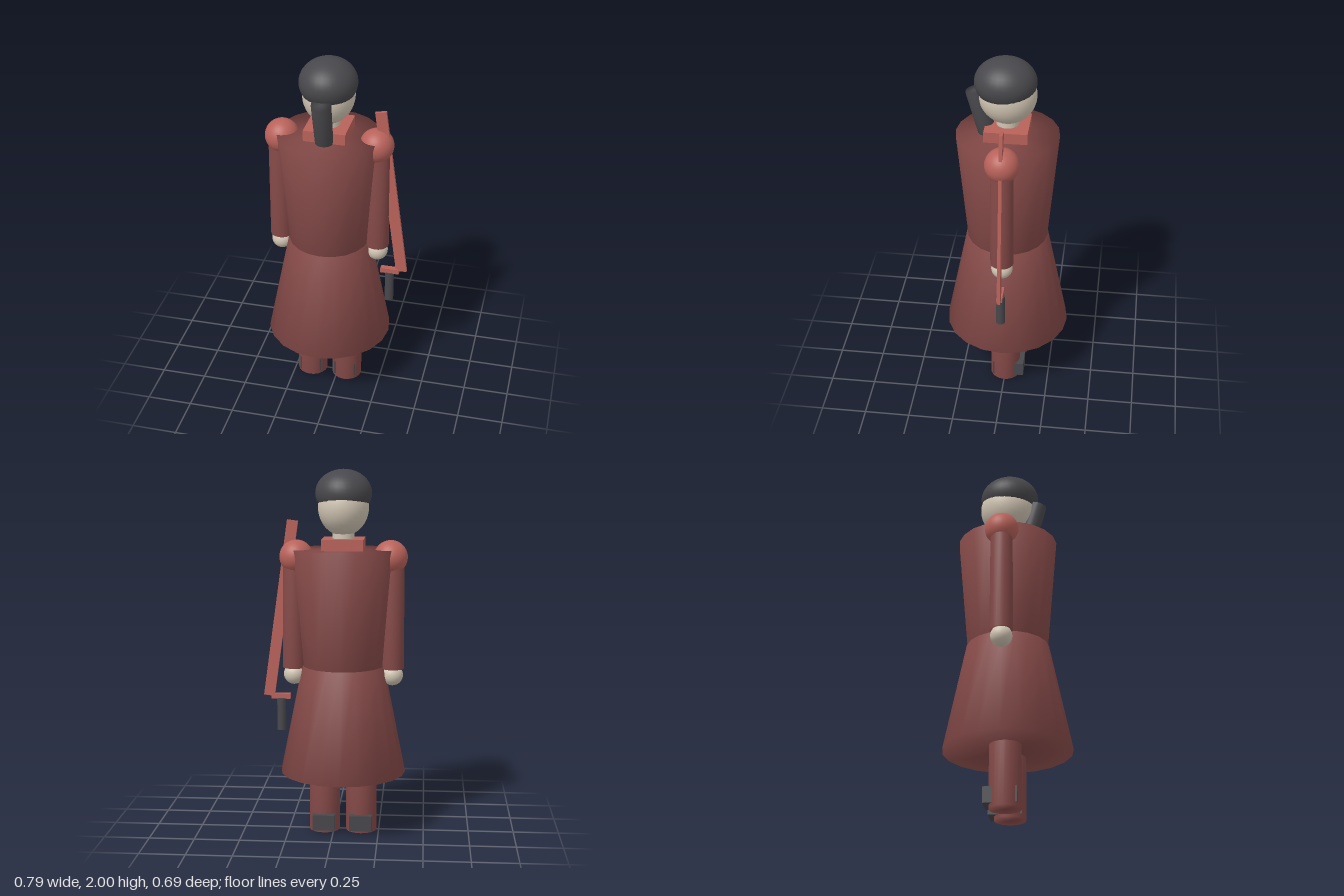
import * as THREE from 'three';
import { mergeVertices } from 'three/addons/utils/BufferGeometryUtils.js';

const material = (name, color) => {
  const m = new THREE.MeshStandardMaterial({ color });
  m.name = name;
  return m;
};

// Capped cylinder whose normals run smoothly over its rims
function softCylinder(top, bottom, height, sides = 20) {
  const g = new THREE.CylinderGeometry(top, bottom, height, sides);
  g.deleteAttribute('normal');
  g.deleteAttribute('uv');
  const soft = mergeVertices(g, 1e-4);
  soft.computeVertexNormals();
  return soft;
}

export function createModel() {
  const model = new THREE.Group();
  model.name = 'swordFigure';

  const coat = material('coatMaroon', 0x854a48);
  const trim = material('trimRed', 0xb8625a);
  const skin = material('skinBeige', 0xd2c6b4);
  const dark = material('charcoal', 0x48484c);

  const body = new THREE.Group();
  body.name = 'figure';
  body.position.x = -0.05;
  model.add(body);

  const add = (parent, name, geometry, mat, x, y, z) => {
    const mesh = new THREE.Mesh(geometry, mat);
    mesh.name = name;
    mesh.position.set(x, y, z);
    parent.add(mesh);
    return mesh;
  };
  const ball = (r) => new THREE.SphereGeometry(r, 32, 20);

  // Coat: flared skirt below the waist, tapered torso above it
  add(body, 'coatSkirt', softCylinder(0.225, 0.345, 0.595), coat, 0, 0.6375, 0);
  add(body, 'coatTorso', softCylinder(0.275, 0.22, 0.635), coat, 0, 1.2525, 0);
  add(body, 'collar', new THREE.BoxGeometry(0.225, 0.08, 0.23), trim, 0, 1.59, 0);

  // Head, hair and ponytail
  add(body, 'neck', new THREE.CylinderGeometry(0.06, 0.06, 0.14, 20), skin, 0, 1.65, 0);
  add(body, 'head', ball(1), skin, 0, 1.8, 0).scale.set(0.138, 0.157, 0.153);
  add(body, 'hair', ball(1), dark, 0, 1.872, 0.011).scale.set(0.153, 0.128, 0.163);
  const ponytail = add(body, 'ponytail', softCylinder(0.052, 0.047, 0.29), dark, 0, 1.677, 0.135);
  ponytail.rotation.x = 0.245;

  // Limbs, mirrored about the body
  for (const [side, s] of [['left', 1], ['right', -1]]) {
    add(body, side + 'Sleeve', softCylinder(0.06, 0.063, 0.62), coat, s * 0.27, 1.23, 0);
    add(body, side + 'Shoulder', ball(0.092), trim, s * 0.256, 1.53, 0);
    add(body, side + 'Hand', ball(0.058), skin, s * 0.27, 0.884, 0);
    add(body, side + 'Leg', softCylinder(0.085, 0.085, 0.5), coat, s * 0.102, 0.25, 0);
    add(body, side + 'Boot', new THREE.BoxGeometry(0.122, 0.086, 0.177), dark, s * 0.102, 0.062, -0.021);
  }

  // Sword carried upright at the left side
  const sword = new THREE.Group();
  sword.name = 'sword';
  model.add(sword);
  const blade = add(sword, 'blade', new THREE.BoxGeometry(0.06, 0.975, 0.018), trim, 0.292, 1.243, 0);
  blade.rotation.z = 0.138;
  add(sword, 'guard', new THREE.BoxGeometry(0.104, 0.028, 0.032), trim, 0.294, 0.757, 0);
  add(sword, 'grip', new THREE.CylinderGeometry(0.025, 0.025, 0.18, 16), dark, 0.292, 0.656, 0);

  return model;
}
